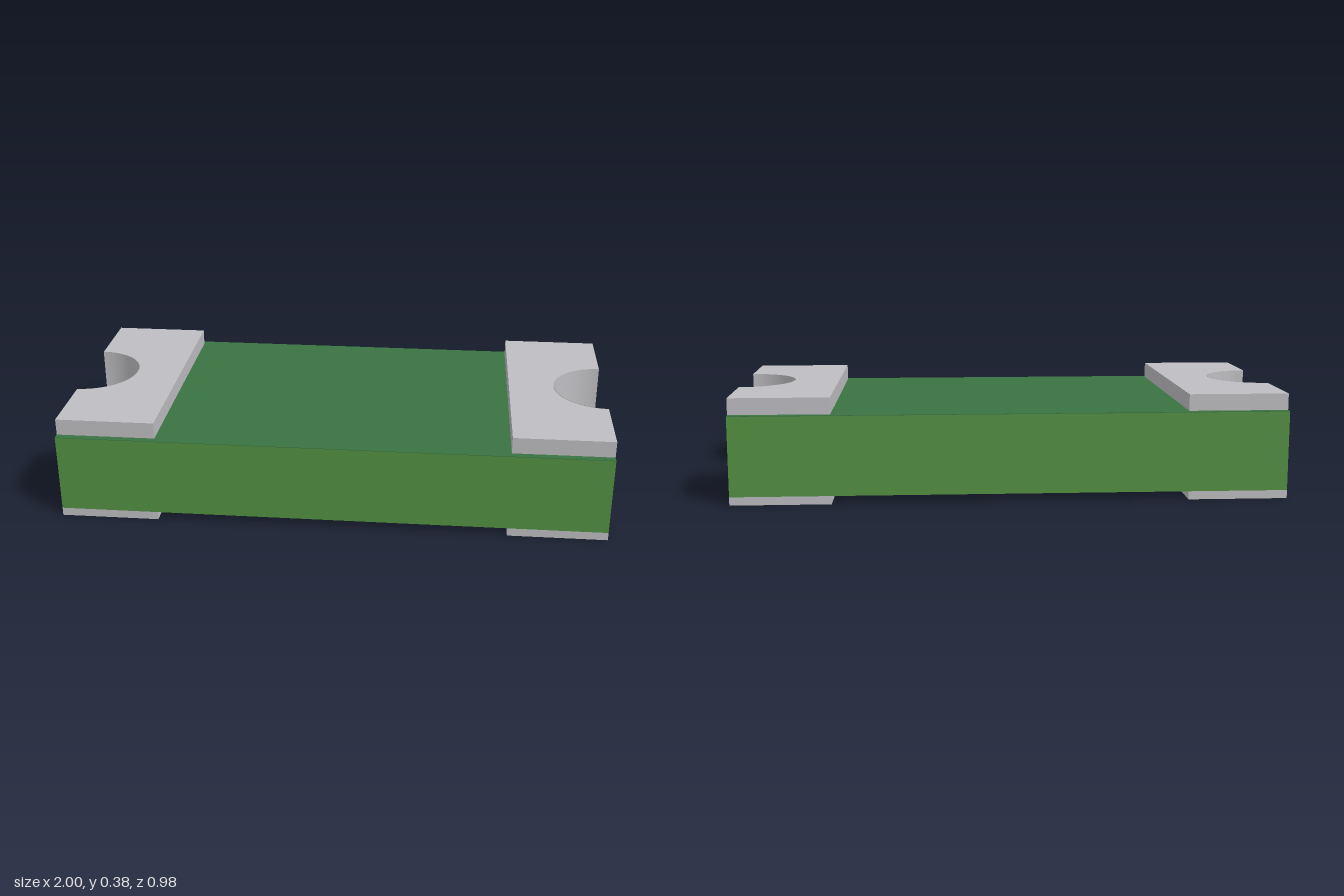
import * as THREE from 'three';

const NOTCH = 0.19;
const HALF_DEPTH = 0.49;

// Extrude a plan outline upward from height y0 to y1
function slab(shape, y0, y1, material, name) {
  const geometry = new THREE.ExtrudeGeometry(shape, { depth: y1 - y0, bevelEnabled: false, curveSegments: 32 });
  geometry.rotateX(-Math.PI / 2);
  geometry.translate(0, y0, 0);
  const mesh = new THREE.Mesh(geometry, material);
  mesh.name = name;
  return mesh;
}

// Rectangle with a half-round notch in both ends
function boardOutline(r) {
  const s = new THREE.Shape();
  s.moveTo(-1, -HALF_DEPTH);
  s.lineTo(1, -HALF_DEPTH);
  s.lineTo(1, -r);
  s.absarc(1, 0, r, -Math.PI / 2, Math.PI / 2, true);
  s.lineTo(1, HALF_DEPTH);
  s.lineTo(-1, HALF_DEPTH);
  s.lineTo(-1, r);
  s.absarc(-1, 0, r, Math.PI / 2, -Math.PI / 2, true);
  s.closePath();
  return s;
}

// Terminal pad with a half-round notch in its outer edge
function padOutline(halfDepth) {
  const s = new THREE.Shape();
  s.moveTo(0.64, -halfDepth);
  s.lineTo(1, -halfDepth);
  s.lineTo(1, -NOTCH);
  s.absarc(1, 0, NOTCH, -Math.PI / 2, Math.PI / 2, true);
  s.lineTo(1, halfDepth);
  s.lineTo(0.64, halfDepth);
  s.closePath();
  return s;
}

export function createModel() {
  const boardGreen = new THREE.MeshStandardMaterial({ color: 0x539042 });
  const maskGreen = new THREE.MeshStandardMaterial({ color: 0x3a7343 });
  const metal = new THREE.MeshStandardMaterial({ color: 0xbebec2 });
  const barrelMetal = metal;
  barrelMetal.side = THREE.DoubleSide;

  const model = new THREE.Group();
  model.name = 'chipComponent';

  // Board core with its coated top face
  const outline = boardOutline(NOTCH + 0.003);
  model.add(slab(outline, 0.03, 0.318, boardGreen, 'board'));
  model.add(slab(outline, 0.318, 0.32, maskGreen, 'topCoating'));

  // Painted stripe along the underside
  const stripe = new THREE.Mesh(new THREE.BoxGeometry(1.28, 0.004, 0.36), maskGreen);
  stripe.name = 'undersideStripe';
  stripe.position.y = 0.029;
  model.add(stripe);

  // Plated terminals at both ends
  for (const side of [1, -1]) {
    const terminal = new THREE.Group();
    terminal.name = side > 0 ? 'leftTerminal' : 'rightTerminal';
    terminal.add(slab(padOutline(0.465), 0.32, 0.38, metal, 'topPad'));
    terminal.add(slab(padOutline(HALF_DEPTH), 0, 0.03, metal, 'bottomPad'));

    // Half-round plating lining the notch
    const barrel = new THREE.Mesh(
      new THREE.CylinderGeometry(NOTCH - 0.002, NOTCH - 0.002, 0.38, 32, 1, true, Math.PI, Math.PI), barrelMetal);
    barrel.name = 'notchPlating';
    barrel.position.set(1, 0.19, 0);
    terminal.add(barrel);

    if (side < 0) terminal.rotation.y = Math.PI;
    model.add(terminal);
  }
  return model;
}
